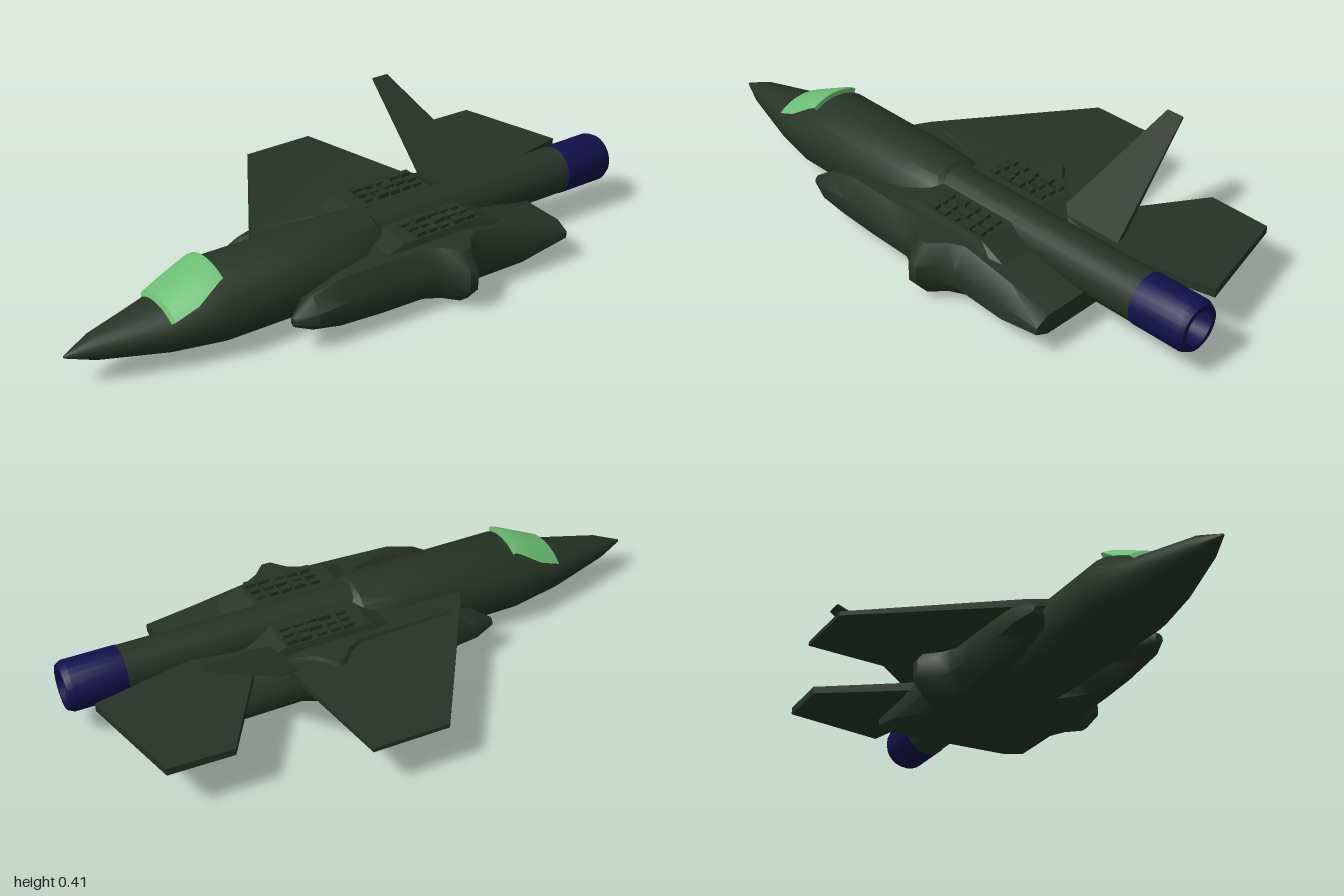
import * as THREE from 'three';
import { toCreasedNormals } from 'three/addons/utils/BufferGeometryUtils.js';

const AXIS = 0.165; // z of the fuselage centre line

const green = new THREE.MeshStandardMaterial({ color: 0x263326 });
green.name = 'dark green paint';
const navy = new THREE.MeshStandardMaterial({ color: 0x12104a, side: THREE.DoubleSide });
navy.name = 'navy metal';
const glass = new THREE.MeshStandardMaterial({ color: 0x6cbf74, side: THREE.DoubleSide });
glass.name = 'green glass';

// Skin a list of rings of [x, y, z]; closed rings get end caps
function loft(rings, closed = true, crease = 0.6) {
  const n = rings[0].length;
  const pos = [];
  const tri = (a, b, c) => pos.push(...a, ...b, ...c);
  for (let i = 0; i < rings.length - 1; i++) {
    for (let j = 0; j < (closed ? n : n - 1); j++) {
      const k = (j + 1) % n;
      const [a, b, c, d] = [rings[i][j], rings[i][k], rings[i + 1][j], rings[i + 1][k]];
      tri(a, c, b);
      tri(b, c, d);
    }
  }
  if (closed) {
    const first = rings[0], last = rings[rings.length - 1];
    for (let j = 1; j < n - 1; j++) {
      tri(first[0], first[j], first[j + 1]);
      tri(last[0], last[j + 1], last[j]);
    }
  }
  const g = new THREE.BufferGeometry();
  g.setAttribute('position', new THREE.Float32BufferAttribute(pos, 3));
  return toCreasedNormals(g, crease);
}

// Thin plate: outline clockwise from above, half thickness per corner, along dir
function plate(corners, half, dir = [0, 1, 0]) {
  const side = s => corners.map((c, i) => c.map((v, k) => v + s * half[i] * dir[k]));
  return loft([side(-1), side(1)], true, 0.2);
}

// Fuselage stations: x, half width, bottom, waist, top
const STATIONS = [
  [-1, 0.004, 0.108, 0.112, 0.116],
  [-0.91, 0.045, 0.075, 0.115, 0.152],
  [-0.7, 0.11, 0.032, 0.12, 0.186],
  [-0.53, 0.15, 0.016, 0.13, 0.262],
  [-0.1, 0.143, 0.005, 0.13, 0.262],
  [0.03, 0.13, 0, 0.13, 0.259],
  [0.055, 0.12, 0, 0.13, 0.235],
  [0.2, 0.12, 0.002, 0.12, 0.21],
  [0.5, 0.1, 0.02, 0.1, 0.16],
  [0.64, 0.06, 0.07, 0.1, 0.13],
];

function stationAt(x) {
  let i = 0;
  while (i < STATIONS.length - 2 && STATIONS[i + 1][0] < x) i++;
  const [a, b] = [STATIONS[i], STATIONS[i + 1]];
  const t = (x - a[0]) / (b[0] - a[0]);
  return a.map((v, k) => v + t * (b[k] - v));
}

function hullPoint([x, w, yb, yc, yt], a, out = 0) {
  const s = Math.sin(a);
  return [x, yc + s * ((s > 0 ? yt - yc : yc - yb) + out), AXIS + Math.cos(a) * (w + out)];
}

// Side pod stations: x, inner offset, outer offset, bottom, top
const POD = [
  [-0.37, 0.2, 0.225, 0.095, 0.125],
  [-0.3, 0.15, 0.25, 0.058, 0.17],
  [-0.2, 0.135, 0.255, 0.035, 0.198],
  [-0.05, 0.1, 0.26, 0.028, 0.2],
  [0.1, 0, 0.263, 0.026, 0.203],
  [0.15, 0, 0.29, 0.026, 0.203],
  [0.19, 0, 0.336, 0.026, 0.203],
  [0.22, 0, 0.336, 0.026, 0.203],
  [0.26, 0, 0.29, 0.026, 0.203],
  [0.31, 0, 0.264, 0.025, 0.2],
  [0.5, 0, 0.265, 0.024, 0.168],
  [0.64, 0, 0.265, 0.07, 0.135],
];

function pod(side) {
  return loft(POD.map(([x, di, dо, yb, yt]) => {
    const h = yt - yb;
    const c = Math.min(0.045, 0.4 * (dо - di));
    const inner = di > 0 ? c : 0;
    const ring = [
      [di + inner, yb], [dо - c, yb], [dо, yb + 0.3 * h], [dо, yb + 0.65 * h],
      [dо - c, yt], [di + inner, yt], [di, yb + 0.7 * h], [di, yb + 0.3 * h],
    ].map(([d, y]) => [x, y, AXIS + side * d]);
    return side > 0 ? ring : ring.reverse();
  }), true, 0.75);
}

export function createModel() {
  const model = new THREE.Group();
  model.name = 'jetAircraft';
  const add = (name, geometry, material = green) => {
    const m = new THREE.Mesh(geometry, material);
    m.name = name;
    model.add(m);
    return m;
  };

  // Nose, cabin and belly
  const SEG = 24;
  add('fuselage', loft(STATIONS.map(s =>
    Array.from({ length: SEG }, (_, j) => hullPoint(s, (j / SEG) * Math.PI * 2)))));

  // Canopy shell following the hull: x, offset, start angle
  const canopyRows = [
    [-0.702, 0, 0.62], [-0.695, 0.013, 0.62], [-0.62, 0.016, 0.72],
    [-0.545, 0.018, 0.96], [-0.528, 0.014, 1.0], [-0.526, -0.004, 1.0],
  ];
  add('canopy', loft(canopyRows.map(([x, out, a0]) =>
    Array.from({ length: 13 }, (_, j) =>
      hullPoint(stationAt(x), a0 + (j / 12) * (Math.PI - 2 * a0), out))), false), glass);

  // Side pods with outward blisters
  add('leftPod', pod(1));
  add('rightPod', pod(-1));

  // Raised deck between the pods
  add('upperDeck', loft([[-0.04, 0.19], [0.05, 0.222], [0.34, 0.222], [0.46, 0.165]].map(([x, y]) =>
    [[-0.225, 0.13], [0.225, 0.13], [0.185, y], [-0.185, y]].map(([d, h]) => [x, h, AXIS + d])), true, 0.3));

  // Small machinery blocks on the deck
  for (const side of [-1, 1]) {
    for (let i = 0; i < 5; i++) {
      for (let j = 0; j < 3; j++) {
        const skew = ((i * 7 + j * 5) % 4) * 0.003;
        const g = new THREE.BoxGeometry(0.03 + skew, 0.022, 0.02 + skew / 2);
        add('deckBlock', g).position.set(
          0.115 + i * 0.048 + skew, 0.222 + skew / 2, AXIS + side * (0.095 + j * 0.036));
      }
    }
  }

  // Engine tube
  const tube = new THREE.CylinderGeometry(0.08, 0.08, 0.82, 24);
  tube.rotateZ(-Math.PI / 2);
  add('engineTube', tube).position.set(0.41, 0.17, AXIS);

  // Exhaust nozzle with recessed inner wall
  const profile = [[0.078, 0.81], [0.082, 0.812], [0.082, 0.98], [0.072, 1],
    [0.055, 1], [0.05, 0.94], [0, 0.94]].map(p => new THREE.Vector2(...p));
  const nozzle = new THREE.LatheGeometry(profile, 24);
  nozzle.rotateZ(-Math.PI / 2);
  add('nozzle', toCreasedNormals(nozzle, 0.5), navy).position.set(0, 0.17, AXIS);
  const plug = new THREE.ConeGeometry(0.034, 0.02, 5);
  plug.rotateZ(-Math.PI / 2);
  add('nozzlePlug', toCreasedNormals(plug, 0.2)).position.set(0.951, 0.17, AXIS);

  // Wing, tailplane and canted fin on the one side
  add('wing', plate([
    [-0.3, 0.183, 0.04], [-0.27, 0.183, -0.02], [0.03, 0.163, -0.508],
    [0.28, 0.163, -0.508], [0.37, 0.183, -0.03], [0.37, 0.183, 0.05],
  ], [0.012, 0.012, 0.007, 0.007, 0.012, 0.012]));
  add('tailplane', plate([
    [0.4, 0.178, 0.05], [0.64, 0.171, -0.345], [0.85, 0.171, -0.34],
    [0.94, 0.177, 0.02], [0.62, 0.178, 0.09],
  ], [0.015, 0.012, 0.012, 0.014, 0.015]));
  add('tailFin', plate([
    [0.365, 0.177, 0.06], [0.44, 0.405, -0.353], [0.5, 0.405, -0.353], [0.605, 0.177, 0.06],
  ], [0.009, 0.003, 0.003, 0.009], [0, 0.87, 0.49]));

  return model;
}
